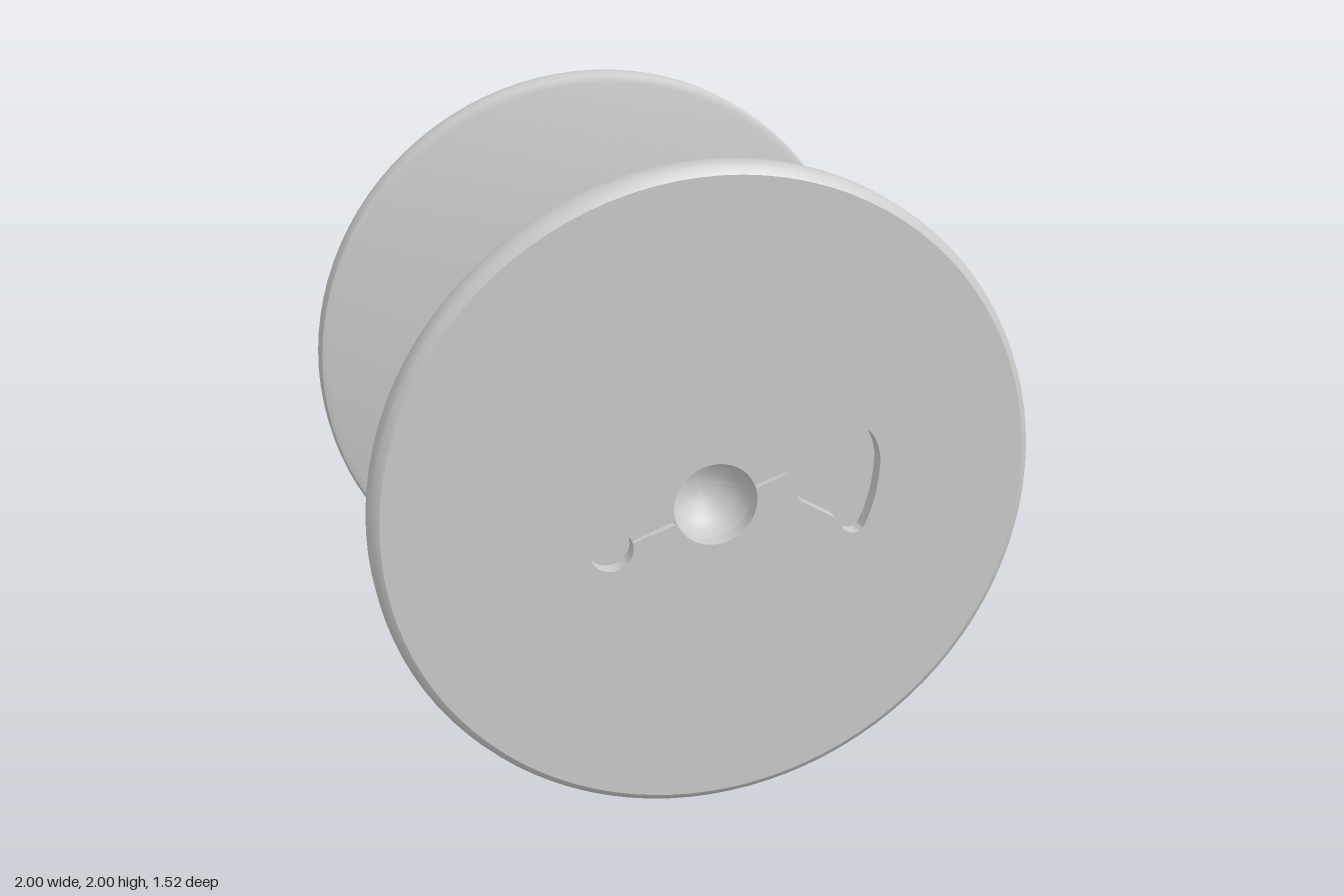
import * as THREE from 'three';
import { toCreasedNormals } from 'three/addons/utils/BufferGeometryUtils.js';

const material = new THREE.MeshStandardMaterial({ color: 0xcccccc, side: THREE.DoubleSide });
const RADIUS = 0.993, THICK = 0.105, RECESS = 0.045, FACE = 0.965;

function addMesh(parent, name, geometry, crease = 0.5) {
  const mesh = new THREE.Mesh(toCreasedNormals(geometry, crease), material);
  mesh.name = name;
  parent.add(mesh);
  return mesh;
}

function circlePath(x, y, r) {
  const path = new THREE.Path();
  path.absarc(x, y, r, 0, Math.PI * 2, true);
  return path;
}

// Narrow tapering crack running along a ray from the hub
function crackPath(angle, from, to, width) {
  const c = Math.cos(angle), s = Math.sin(angle);
  const at = (d, w) => new THREE.Vector2(c * d - s * w, s * d + c * w);
  return new THREE.Path([at(from, width), at(to, width * 0.5), at(to, -width * 0.5), at(from, -width)]);
}

// V-shaped drive slot with a curved outer edge
function slotPath() {
  const p = new THREE.Path();
  p.moveTo(0.455, 0.185);
  p.quadraticCurveTo(0.49, 0.17, 0.505, 0.09);
  p.quadraticCurveTo(0.505, -0.04, 0.46, -0.13);
  p.quadraticCurveTo(0.44, -0.155, 0.4, -0.13);
  p.quadraticCurveTo(0.39, -0.1, 0.36, -0.08);
  p.lineTo(0.26, -0.02);
  p.quadraticCurveTo(0.235, 0.01, 0.265, 0.03);
  p.quadraticCurveTo(0.29, 0.035, 0.32, 0.015);
  p.lineTo(0.41, -0.045);
  p.quadraticCurveTo(0.45, -0.02, 0.455, 0.05);
  p.closePath();
  return p;
}

// Flange built facing +z, its inner face on z = 0
function makeFlange(name, pinX, pinY, hasSlot) {
  const flange = new THREE.Group();
  flange.name = name;

  // Rounded rim, inner face, recess floor and hub bowl in one profile
  const profile = [
    [0.25, 0], [RADIUS - 0.03, 0], [RADIUS - 0.008, 0.008], [RADIUS, 0.025],
    [RADIUS, THICK - 0.035], [RADIUS - 0.008, THICK - 0.012], [FACE, THICK],
    [FACE, THICK - RECESS], [0.126, THICK - RECESS],
    [0.12, 0.03], [0.1, -0.01], [0.06, -0.04], [0, -0.05],
  ].map(([r, h]) => new THREE.Vector2(r, h));
  addMesh(flange, name + 'Body', new THREE.LatheGeometry(profile, 96).rotateX(Math.PI / 2), 0.7);

  // Outer plate pierced by the hub hole, pin hole, cracks and slot
  const plate = new THREE.Shape();
  plate.absarc(0, 0, FACE, 0, Math.PI * 2, false);
  const angle = Math.atan2(pinY, pinX), dist = Math.hypot(pinX, pinY);
  plate.holes.push(
    circlePath(0, 0, 0.126),
    circlePath(pinX, pinY, 0.064),
    crackPath(angle, 0.13, dist - 0.068, 0.007),
    crackPath(angle + Math.PI, 0.13, 0.23, 0.006),
  );
  if (hasSlot) plate.holes.push(slotPath());
  const plateGeometry = new THREE.ExtrudeGeometry(plate, { depth: RECESS, bevelEnabled: false, curveSegments: 48 });
  addMesh(flange, name + 'Plate', plateGeometry.translate(0, 0, THICK - RECESS));
  return flange;
}

// Drum of slightly rounded staves separated by shallow seams
function makeDrum() {
  const staves = 10, steps = 6, length = 1.3, start = -8 * Math.PI / 180;
  const width = Math.PI * 2 / staves, points = [];
  for (let i = 0; i < staves; i++) {
    const a0 = start + i * width;
    points.push(new THREE.Vector2(Math.cos(a0) * 0.368, Math.sin(a0) * 0.368));
    for (let j = 0; j <= steps; j++) {
      const t = 0.03 + 0.94 * j / steps;
      const r = 0.384 + 0.006 * Math.sin(Math.PI * t);
      const a = a0 + width * t;
      points.push(new THREE.Vector2(Math.cos(a) * r, Math.sin(a) * r));
    }
  }
  const shape = new THREE.Shape(points);
  shape.holes.push(circlePath(0, 0, 0.2));
  return new THREE.ExtrudeGeometry(shape, { depth: length, bevelEnabled: false, curveSegments: 24 })
    .translate(0, 0, -length / 2);
}

export function createModel() {
  const model = new THREE.Group();
  model.name = 'cableSpool';

  const drum = addMesh(model, 'staveDrum', makeDrum(), 0.4);
  drum.position.set(-0.002, 1.0, 0);
  drum.rotation.set(0.01, -0.005, 0);

  // Both flanges sit slightly out of true
  const front = makeFlange('frontFlange', -0.31, -0.11, true);
  front.position.set(-0.008, 0.994, 0.647);
  front.rotation.set(0.006, -0.007, 0);
  model.add(front);

  const back = new THREE.Group();
  back.name = 'backFlangeMount';
  const backFlange = makeFlange('backFlange', -0.33, 0.11, false);
  backFlange.rotation.y = Math.PI;
  back.add(backFlange);
  back.position.set(0.008, 1.006, -0.647);
  back.rotation.set(0.008, -0.007, 0);
  model.add(back);

  return model;
}
